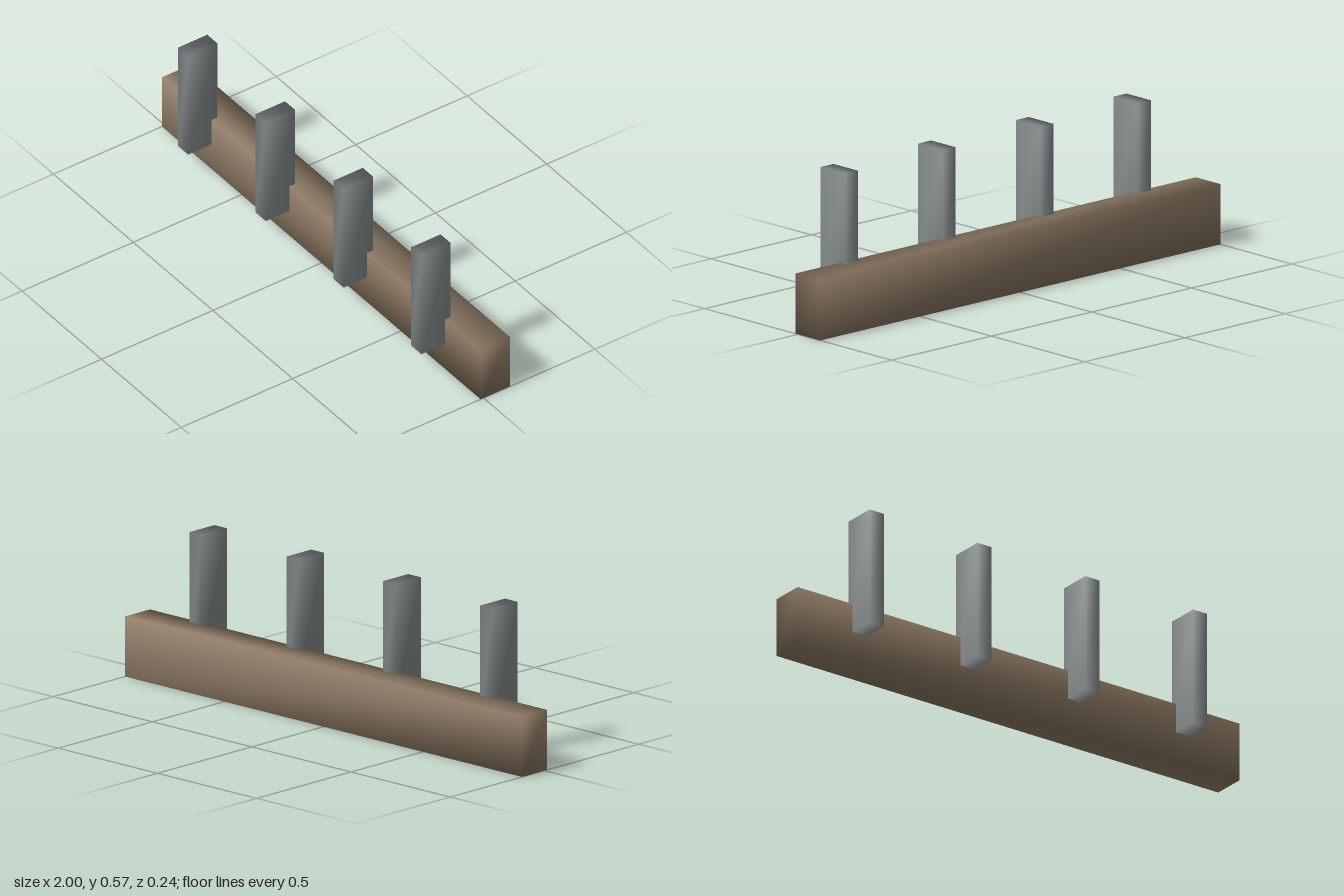
import * as THREE from 'three';
import { mergeVertices } from 'three/addons/utils/BufferGeometryUtils.js';

// Box with shared corners, so shading runs smoothly around its edges
function softBox(width, height, depth) {
  const box = new THREE.BoxGeometry(width, height, depth);
  box.deleteAttribute('normal');
  box.deleteAttribute('uv');
  const geometry = mergeVertices(box);
  geometry.computeVertexNormals();
  return geometry;
}

export function createModel() {
  const model = new THREE.Group();
  model.name = 'peggedBeam';

  const wood = new THREE.MeshStandardMaterial({ color: 0x8b7762 });
  const metal = new THREE.MeshStandardMaterial({ color: 0x8a9090 });

  // Long horizontal beam
  const beam = new THREE.Mesh(softBox(2, 0.228, 0.132), wood);
  beam.name = 'beam';
  beam.position.set(0, 0.114, -0.053);
  model.add(beam);

  // Evenly spaced upright posts set into the front of the beam
  const postGeometry = softBox(0.064, 0.454, 0.132);
  for (let i = 0; i < 4; i++) {
    const post = new THREE.Mesh(postGeometry, metal);
    post.name = `post${i + 1}`;
    post.position.set(-0.72 + i * 0.488, 0.342, 0.053);
    model.add(post);
  }

  return model;
}
